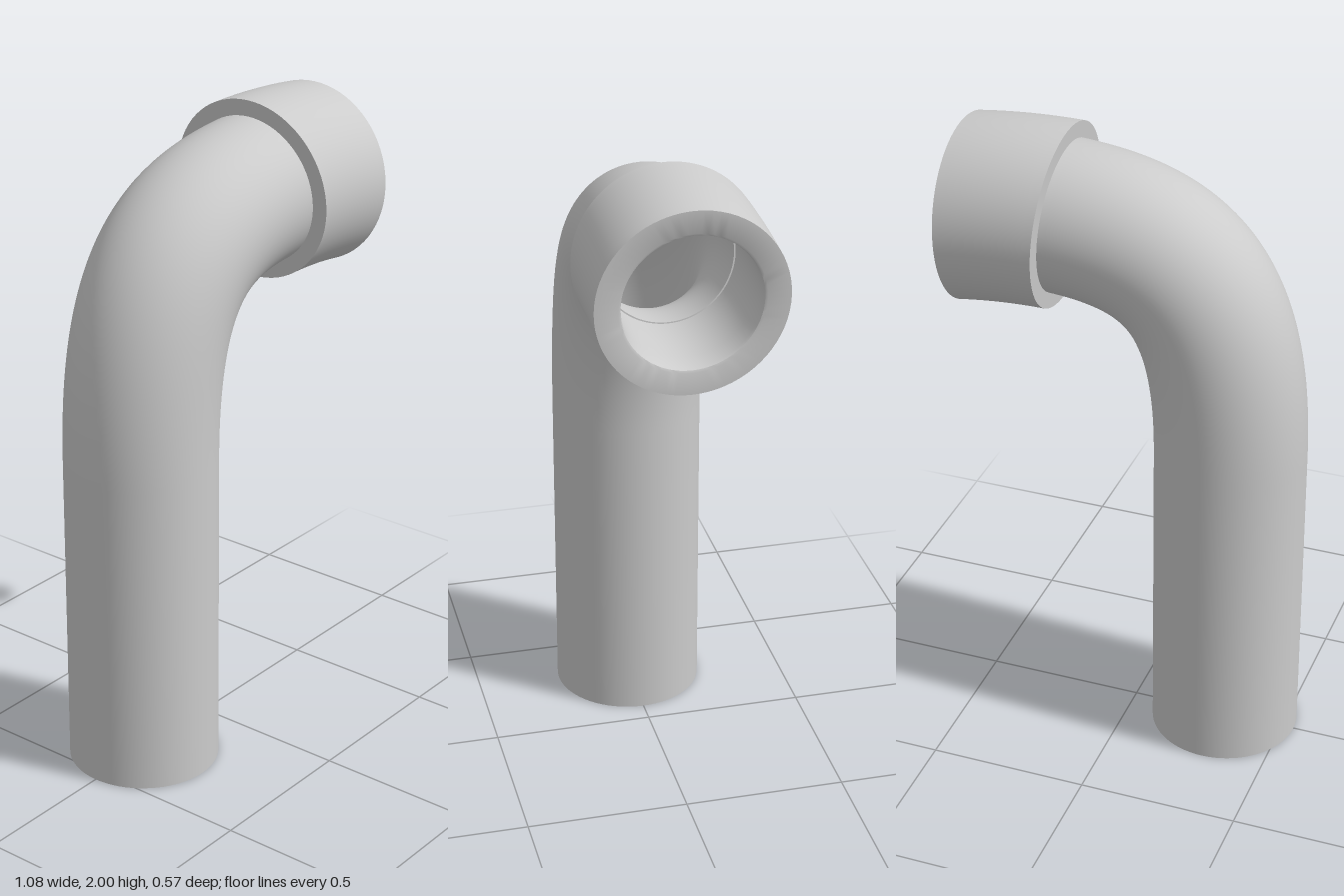
import * as THREE from 'three';
import { toCreasedNormals } from 'three/addons/utils/BufferGeometryUtils.js';

const SIDES = 72;
const PIPE_R = 0.234, BORE_R = 0.2, COLLAR_R = 0.284, MOUTH_R = 0.205;

// Joins round sections { x, y, a: heading in the xy plane, r: radius } into a skin.
// Walking along the heading gives an outer wall, walking back an inner wall.
function sweep(sections) {
  const pos = [], index = [];
  sections.forEach(({ x, y, a, r }, i) => {
    for (let j = 0; j < SIDES; j++) {
      const p = (j / SIDES) * Math.PI * 2;
      const n = r * Math.cos(p);
      pos.push(x - Math.sin(a) * n, y + Math.cos(a) * n, r * Math.sin(p));
      if (i === 0) continue;
      const k = (j + 1) % SIDES, p0 = (i - 1) * SIDES, p1 = i * SIDES;
      index.push(p0 + j, p0 + k, p1 + j, p0 + k, p1 + k, p1 + j);
    }
  });
  const geo = new THREE.BufferGeometry();
  geo.setAttribute('position', new THREE.Float32BufferAttribute(pos, 3));
  geo.setIndex(index);
  return toCreasedNormals(geo, 0.6);
}

const withRadius = (sections, r) => sections.map((s) => ({ ...s, r }));

// Centre line of the pipe: straight riser, then the bend
function pipeSections() {
  const bend = new THREE.CubicBezierCurve(
    new THREE.Vector2(-0.305, 1.0), new THREE.Vector2(-0.305, 1.57),
    new THREE.Vector2(-0.12, 1.694), new THREE.Vector2(0.222, 1.716));
  const list = [{ x: -0.305, y: 0, a: Math.PI / 2 }];
  for (let i = 0; i <= 48; i++) {
    const p = bend.getPoint(i / 48), t = bend.getTangent(i / 48);
    list.push({ x: p.x, y: p.y, a: Math.atan2(t.y, t.x) });
  }
  return list;
}

// Centre line of the collar, curving gently downwards
function collarSection(t) {
  return {
    x: 0.222 + 0.305 * t,
    y: 1.717 - 0.019 * t + 0.024 * t * (1 - t),
    a: 0.062 - 0.105 * t,
  };
}

export function createModel() {
  const group = new THREE.Group();
  const material = new THREE.MeshStandardMaterial({ color: 0xcccccc });
  const add = (name, geometry, mat = material) => {
    const mesh = new THREE.Mesh(geometry, mat);
    mesh.name = name;
    group.add(mesh);
    return mesh;
  };

  // Hollow pipe: outer wall up, end rim, bore back down
  const path = pipeSections();
  add('pipe', sweep([
    ...withRadius(path, PIPE_R),
    ...withRadius(path, BORE_R).reverse(),
  ]));

  // Closed bottom end
  const base = add('base', new THREE.CircleGeometry(PIPE_R, SIDES),
    new THREE.MeshStandardMaterial({ color: 0xcccccc, side: THREE.DoubleSide }));
  base.rotation.x = Math.PI / 2;
  base.position.x = -0.305;

  // Thick collar: back shoulder, outer wall, front rim with a softened lip, bore
  const steps = Array.from({ length: 13 }, (_, i) => collarSection(i / 12));
  const inner = [0.96, 0.75, 0.5, 0.25, 0].map(collarSection);
  add('collar', sweep([
    { ...steps[0], r: PIPE_R - 0.01 },
    ...withRadius(steps, COLLAR_R),
    { ...steps[12], r: MOUTH_R + 0.01 },
    { ...collarSection(0.988), r: MOUTH_R + 0.003 },
    ...withRadius(inner, MOUTH_R),
  ]));

  return group;
}
